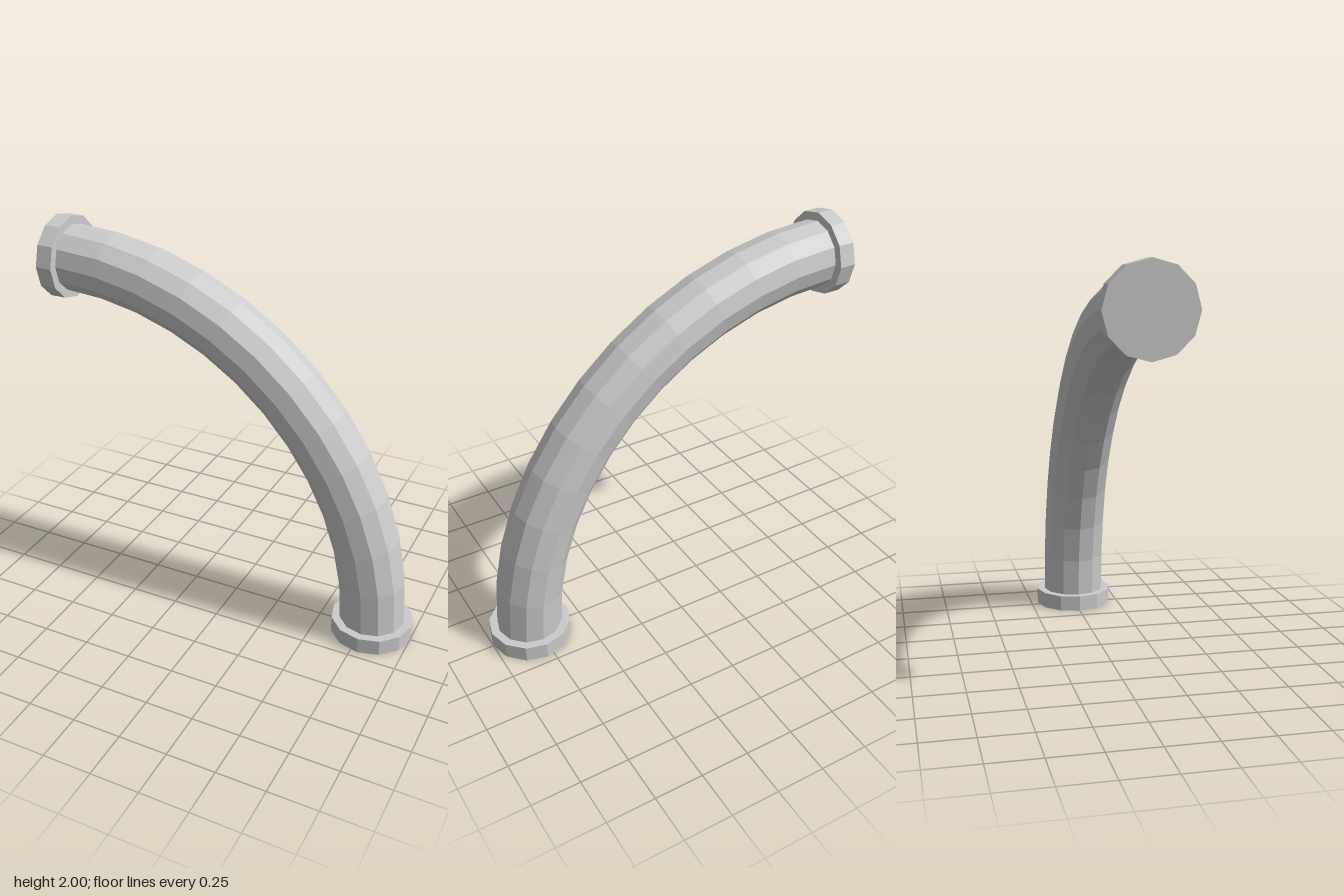
import * as THREE from 'three';

const SIDES = 12;
const THICK = 0.085;      // flange thickness
const FLANGE_R = 0.213;
const PIPE_R = 0.17;
const BEND_R = 2 - FLANGE_R - THICK;

export function createModel() {
  const group = new THREE.Group();
  group.name = 'pipeElbow';
  const material = new THREE.MeshStandardMaterial({ color: 0xcccccc, flatShading: true });

  // Quarter-circle pipe running from the lower flange to the upper one
  const pipe = new THREE.Mesh(
    new THREE.TorusGeometry(BEND_R, PIPE_R, SIDES, 12, Math.PI / 2), material);
  pipe.name = 'bentPipe';
  pipe.position.set(-1 + THICK, THICK, 0);
  group.add(pipe);

  // Solid flange discs closing both ends
  const addFlange = (name, x, y, turn) => {
    const flange = new THREE.Mesh(
      new THREE.CylinderGeometry(FLANGE_R, FLANGE_R, THICK, SIDES), material);
    flange.name = name;
    flange.position.set(x, y, 0);
    flange.rotation.z = turn;
    group.add(flange);
  };
  addFlange('lowerFlange', 1 - FLANGE_R, THICK / 2, 0);
  addFlange('upperFlange', -1 + THICK / 2, 2 - FLANGE_R, Math.PI / 2);

  return group;
}
